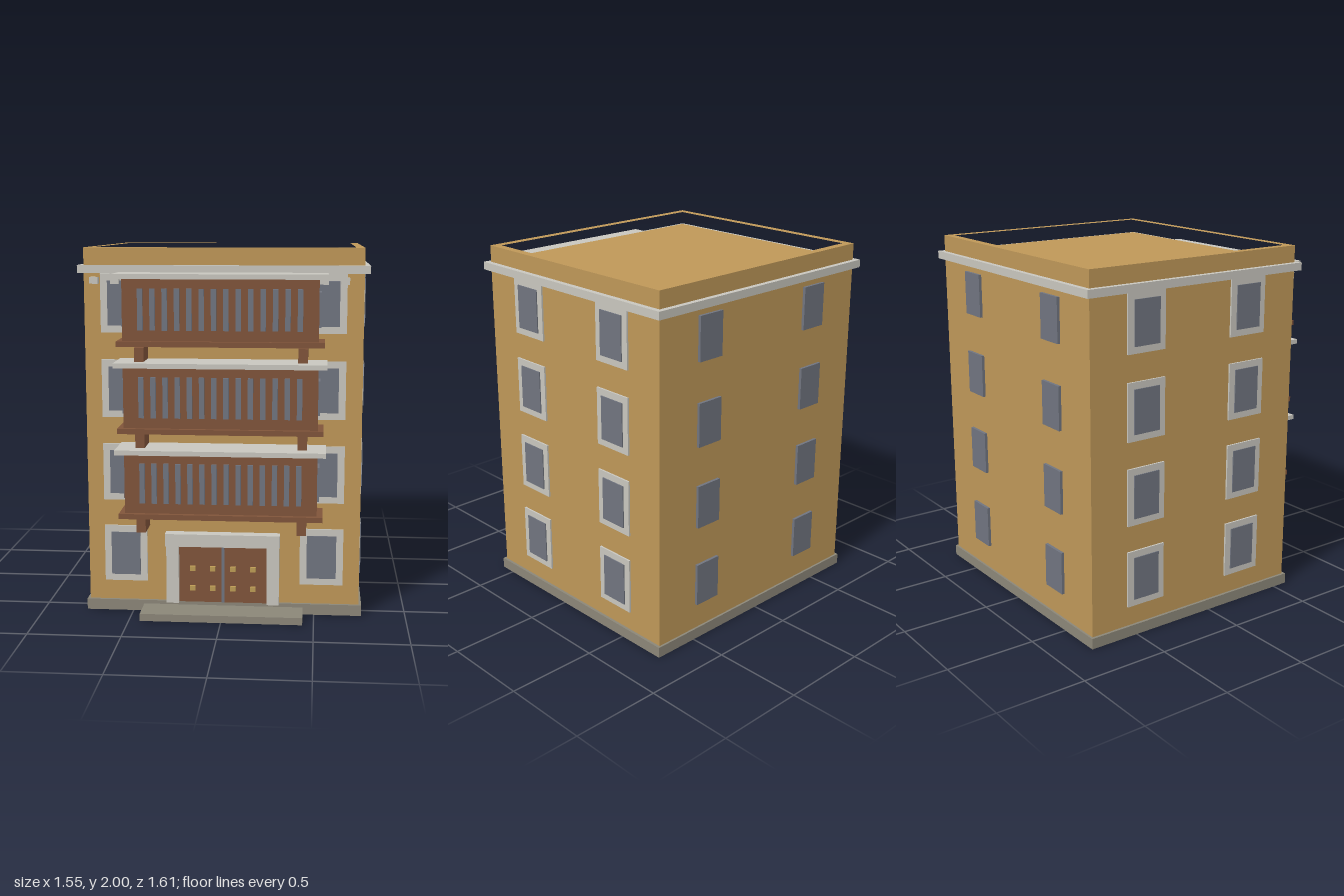
import * as THREE from 'three';

const mat = (name, color) => {
  const m = new THREE.MeshStandardMaterial({ color });
  m.name = name;
  return m;
};

export function createModel() {
  const ochre = mat('ochre plaster', 0xbe9758);
  const pale = mat('pale stone', 0xc8c6be);
  const glass = mat('grey glass', 0x70747f);
  const wood = mat('brown wood', 0x80543a);
  const stone = mat('dark stone', 0x8b8678);
  const brass = mat('brass', 0xbd9c55);

  const model = new THREE.Group();
  model.name = 'apartmentBuilding';

  // Box given by its minimum and maximum on each axis
  const box = (name, m, x0, x1, y0, y1, z0, z1, parent = model) => {
    const mesh = new THREE.Mesh(new THREE.BoxGeometry(x1 - x0, y1 - y0, z1 - z0), m);
    mesh.position.set((x0 + x1) / 2, (y0 + y1) / 2, (z0 + z1) / 2);
    mesh.name = name;
    parent.add(mesh);
    return mesh;
  };
  const group = (name) => {
    const g = new THREE.Group();
    g.name = name;
    model.add(g);
    return g;
  };

  const W = 0.745, F = 0.573, B = -0.778; // half width, front wall, back wall
  const floorStep = 0.46;

  // Main block, plinth, entrance step and cornice
  box('walls', ochre, -W, W, 0.03, 1.912, B, F);
  box('plinth', stone, -0.76, 0.76, 0, 0.06, -0.79, 0.59);
  box('entranceStep', stone, -0.44, 0.44, 0, 0.04, 0.58, 0.76);
  box('cornice', pale, -0.775, 0.775, 1.865, 1.908, -0.807, 0.6);

  // Parapet ring around the flat roof
  const ring = new THREE.Shape([[-W, B], [W, B], [W, F], [-W, F]].map(p => new THREE.Vector2(p[0], -p[1])));
  const t = 0.045;
  ring.holes.push(new THREE.Path([[-W + t, B + t], [W - t, B + t], [W - t, F - t], [-W + t, F - t]]
    .map(p => new THREE.Vector2(p[0], -p[1]))));
  const parapetGeo = new THREE.ExtrudeGeometry(ring, { depth: 0.1, bevelEnabled: false });
  parapetGeo.rotateX(-Math.PI / 2);
  const parapet = new THREE.Mesh(parapetGeo, ochre);
  parapet.position.y = 1.9;
  parapet.name = 'parapet';
  model.add(parapet);

  // Small blocks under the front cornice
  const dentils = group('corniceBlocks');
  for (let i = 0; i < 13; i++) {
    const x = -0.685 + i * 0.1108;
    box('corniceBlock', pale, x - 0.023, x + 0.023, 1.81, 1.845, F - 0.01, 0.612, dentils);
  }

  // Window facing local +z, turned to its wall
  const addWindow = (name, x, y, z, turn, framed) => {
    const g = group(name);
    if (framed) box('frame', pale, -0.118, 0.118, -0.157, 0.157, -0.005, 0.01, g);
    box('pane', glass, -0.08, 0.08, -0.12, 0.12, -0.005, 0.016, g);
    g.position.set(x, y, z);
    g.rotation.y = turn;
  };
  for (let f = 0; f < 4; f++) {
    const y = 0.327 + f * floorStep;
    for (const s of [-1, 1]) {
      addWindow('frontWindow', s * 0.538, y, F, 0, true);
      addWindow('backWindow', s * 0.4, y, B, Math.PI, false);
      for (const z of [0.236, -0.437]) addWindow('sideWindow', s * W, y, z, s * Math.PI / 2, true);
    }
  }

  // Enclosed wooden balconies on the three upper floors
  for (let f = 0; f < 3; f++) {
    const g = group('balcony');
    g.position.y = 0.575 + f * floorStep;
    box('balconyFloor', wood, -0.54, 0.54, 0, 0.028, F - 0.01, 0.787, g);
    box('balconyBody', wood, -0.51, 0.51, 0.02, 0.352, F - 0.01, 0.762, g);
    box('balconyRoof', pale, -0.555, 0.555, 0.35, 0.376, F - 0.01, 0.807, g);
    for (let i = 0; i < 14; i++) {
      const x = (i - 6.5) * 0.0637;
      box('slatPane', glass, x - 0.014, x + 0.014, 0.084, 0.3, 0.755, 0.774, g);
    }
    for (const s of [-1, 1]) {
      const c = s * 0.512;
      box('balconySidePane', glass, c - 0.009, c + 0.009, 0.1, 0.282, 0.612, 0.726, g);
      const b = s * 0.429;
      box('bracket', wood, b - 0.025, b + 0.025, -0.087, -0.01, F - 0.01, 0.732, g);
    }
  }

  // Entrance: stone surround, double door, dark centre strip and studs
  const door = group('entrance');
  box('lintel', pale, -0.315, 0.312, 0.385, 0.455, F - 0.01, 0.637, door);
  for (const s of [-1, 1]) {
    const j = s * 0.275, d = s * 0.124;
    box('jamb', pale, j - 0.034, j + 0.034, 0.062, 0.386, F - 0.01, 0.63, door);
    box('doorLeaf', wood, d - 0.117, d + 0.117, 0.062, 0.386, F - 0.01, 0.6, door);
    for (const x of [0.056, 0.166]) for (const y of [0.143, 0.255]) {
      box('stud', brass, s * x - 0.015, s * x + 0.015, y - 0.013, y + 0.013, 0.595, 0.615, door);
    }
  }
  box('doorStrip', glass, -0.008, 0.008, 0.062, 0.386, F - 0.01, 0.606, door);

  return model;
}
